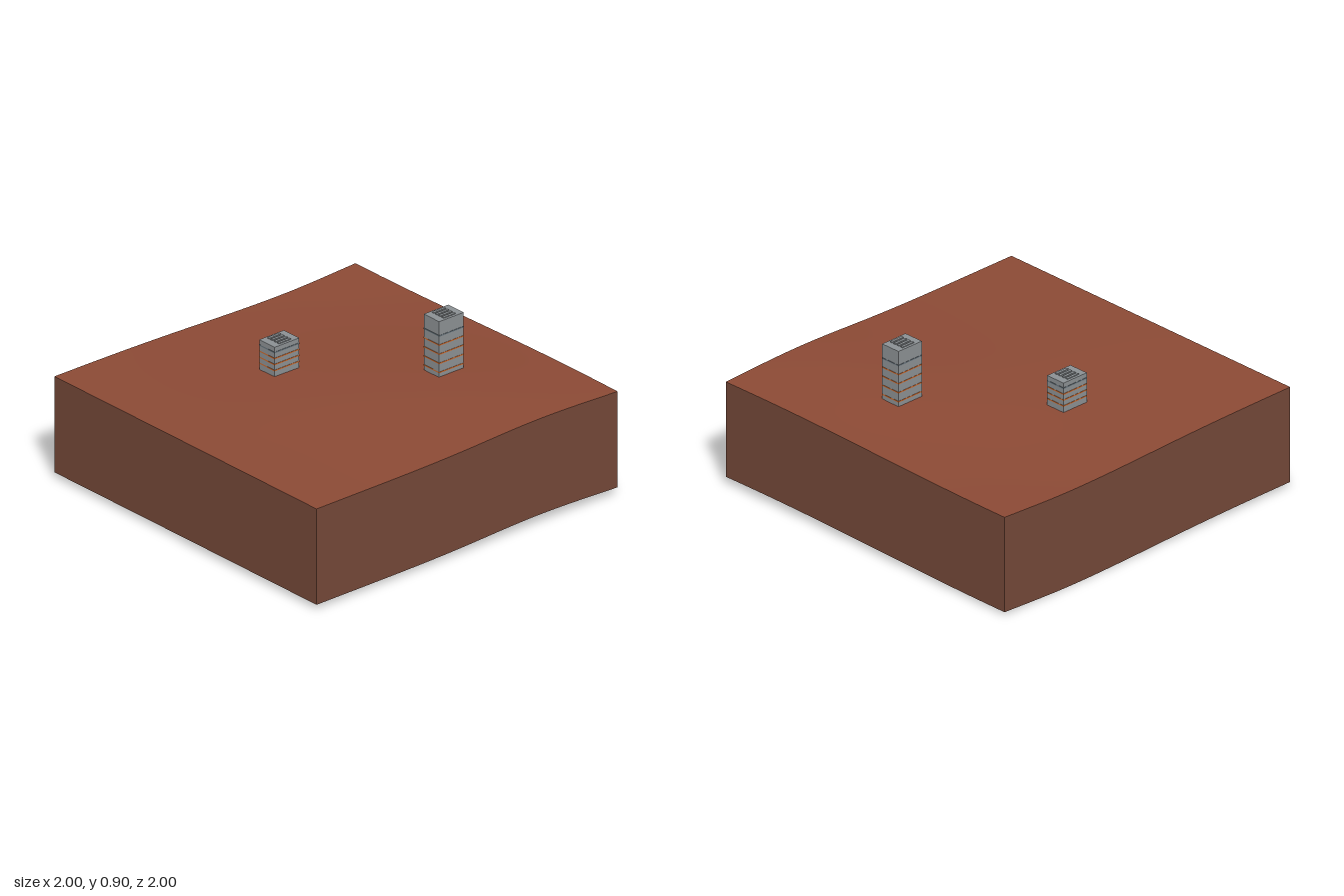
import * as THREE from 'three';

const SLAB = 0.535; // height of the side walls

// Height of the rolling ground: a hill at the back left, a hollow at the back right
function groundHeight(x, z) {
  const reach = z < -0.5 ? 0.55 : 0.62 - 0.12 * Math.tanh(3 * x);
  const fade = Math.exp(-(((z + 0.5) / reach) ** 2));
  return 0.571 + 0.031 * Math.sin((Math.PI / 2) * (x + 0.1) / 0.8) * fade;
}

// Lift every vertex by the ground height at its position
function drape(geometry) {
  const p = geometry.attributes.position;
  for (let i = 0; i < p.count; i++) {
    p.setY(i, p.getY(i) + groundHeight(p.getX(i), p.getZ(i)));
  }
  geometry.computeVertexNormals();
  return geometry;
}

export function createModel() {
  const group = new THREE.Group();
  const material = (name, color, side = THREE.FrontSide) => {
    const m = new THREE.MeshStandardMaterial({ color, side });
    m.name = name;
    return m;
  };
  const soil = material('red soil', 0x8c4a35, THREE.DoubleSide);
  const earth = material('brown earth', 0x744838, THREE.DoubleSide);
  const concrete = material('grey concrete', 0x8c9194);
  const lit = material('orange window light', 0xc8692f);
  const unlit = material('dark window', 0x66727a);

  const add = (parent, name, geometry, mat, x = 0, y = 0, z = 0) => {
    const mesh = new THREE.Mesh(geometry, mat);
    mesh.name = name;
    mesh.position.set(x, y, z);
    parent.add(mesh);
    return mesh;
  };

  // Ground surface
  add(group, 'ground', drape(new THREE.PlaneGeometry(2, 2, 40, 40).rotateX(-Math.PI / 2)), soil);

  // Four side walls, open underneath
  for (let i = 0; i < 4; i++) {
    const wall = new THREE.PlaneGeometry(2, SLAB, 40, 1)
      .translate(0, -SLAB / 2, 1)
      .rotateY(i * Math.PI / 2);
    add(group, 'sideWall', drape(wall), earth);
  }

  // Tower block with window bands and roof vents
  function addTower(name, x, z, top, firstBand, pitch, bands) {
    const w = 0.117, d = 0.163;
    const base = groundHeight(x, z);
    const tower = new THREE.Group();
    tower.name = name;
    tower.position.set(x, 0, z);
    group.add(tower);
    add(tower, 'towerBody', new THREE.BoxGeometry(w, top - base, d), concrete, 0, (top + base) / 2, 0);
    for (let i = 0; i < bands; i++) {
      add(tower, 'windowBand', new THREE.BoxGeometry(w + 0.003, 0.007, d + 0.003),
        i < bands - 1 ? lit : unlit, 0, firstBand + i * pitch, 0);
    }
    for (let i = 0; i < 4; i++) {
      add(tower, 'roofVent', new THREE.BoxGeometry(0.014, 0.005, 0.08), concrete,
        (i - 1.5) * 0.025, top + 0.0025, 0);
    }
  }
  addTower('tallTower', 0.248, -0.5, 0.902, 0.618, 0.051, 5);
  addTower('shortTower', -0.338, 0.083, 0.73, 0.6, 0.0335, 4);

  return group;
}
